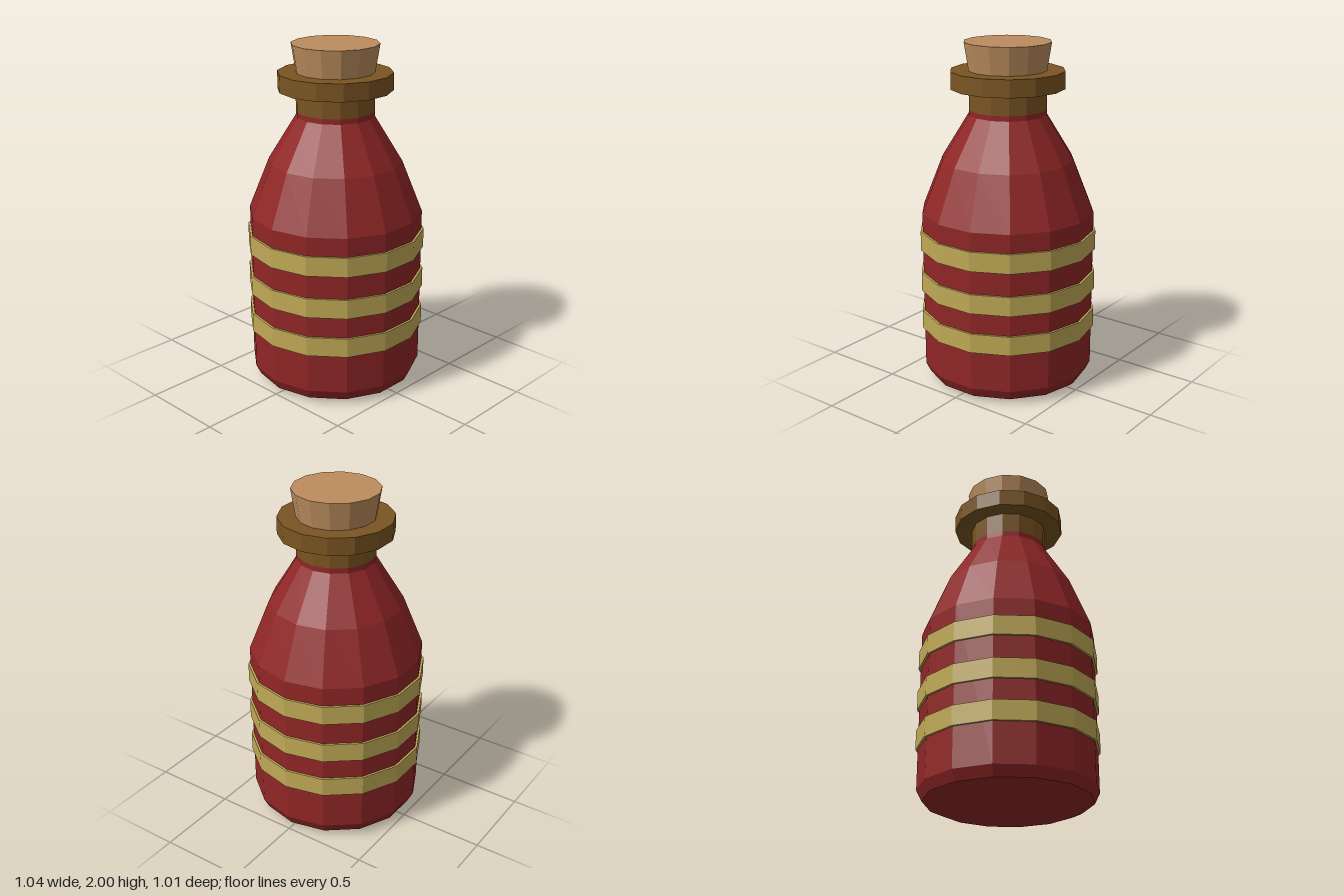
import * as THREE from 'three';

const SIDES = 14;

// Faceted solid of revolution from [radius, height] pairs, listed bottom to top
function turned(name, profile, material) {
  const points = profile.map(([r, y]) => new THREE.Vector2(r, y));
  const geometry = new THREE.LatheGeometry(points, SIDES, Math.PI / 2).toNonIndexed();
  geometry.computeVertexNormals(); // one normal per facet
  const mesh = new THREE.Mesh(geometry, material);
  mesh.name = name;
  return mesh;
}

function paint(name, color) {
  const material = new THREE.MeshStandardMaterial({ color });
  material.name = name;
  return material;
}

export function createModel() {
  const red = paint('red glass', 0x902626);
  const gold = paint('gold band', 0xc0a956);
  const brown = paint('brown neck', 0x7a5522);
  const cork = paint('cork', 0xbc8d5e);

  const bottle = new THREE.Group();
  bottle.name = 'bottle';

  // Body with bevelled foot and tapering shoulder
  bottle.add(turned('body', [
    [0, 0], [0.41, 0], [0.475, 0.03], [0.505, 0.09], [0.505, 1.03],
    [0.385, 1.33], [0.225, 1.59], [0.225, 1.62],
  ], red));

  // Neck and the wide lip above it
  bottle.add(turned('neckAndLip', [
    [0.225, 1.62], [0.225, 1.74], [0.328, 1.74], [0.328, 1.84], [0.2, 1.84],
  ], brown));

  // Stopper, flaring toward the top
  bottle.add(turned('stopper', [
    [0, 1.8], [0.218, 1.8], [0.25, 2], [0, 2],
  ], cork));

  // Three raised bands around the body
  [0.378, 0.615, 0.865].forEach((y, i) => {
    const low = y - 0.057, high = y + 0.057;
    bottle.add(turned(`band${i + 1}`, [
      [0.495, low], [0.518, low], [0.518, high], [0.495, high],
    ], gold));
  });

  return bottle;
}
